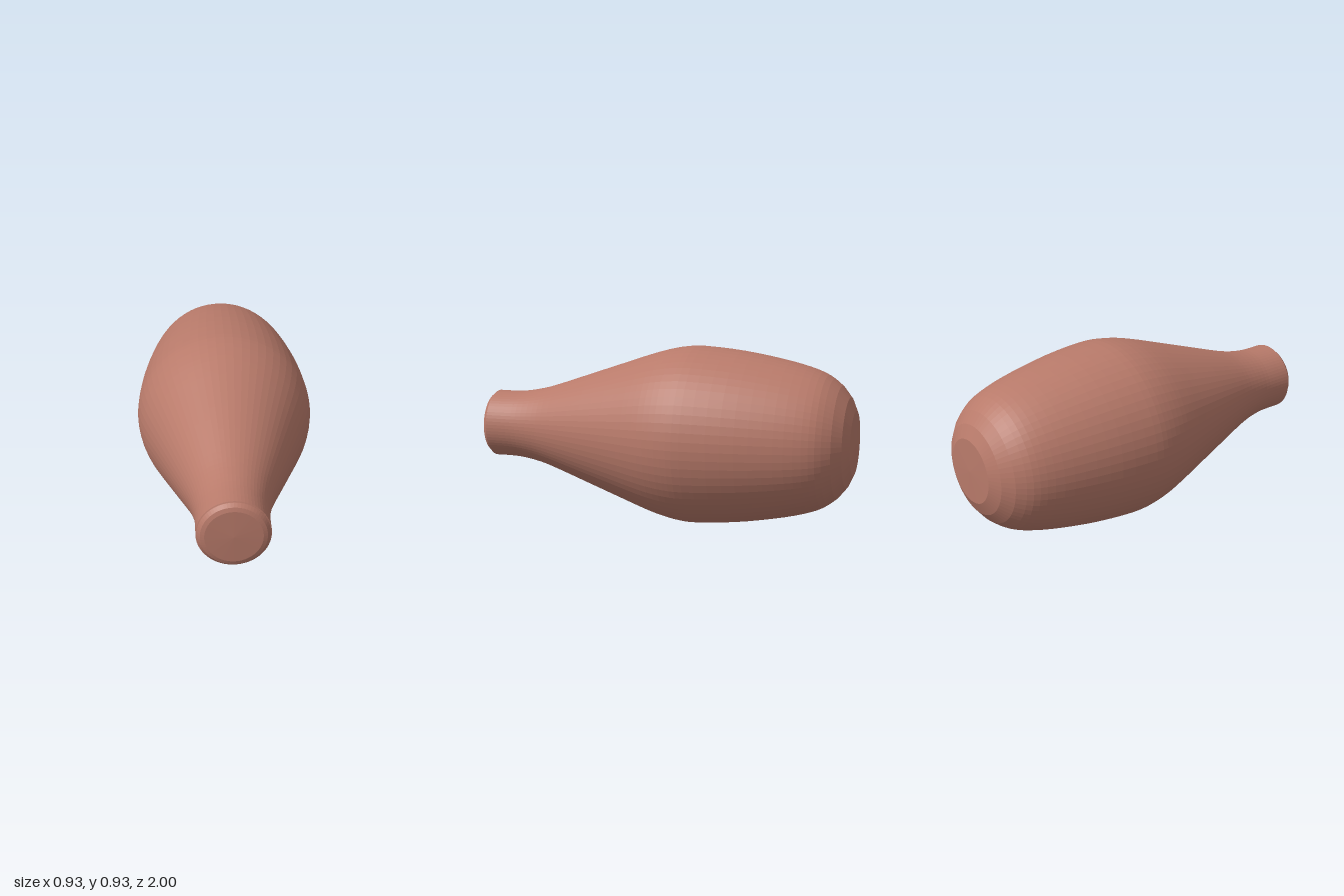
import * as THREE from 'three';

const SIDES = 64;
const AXIS_HEIGHT = 0.463;

// Revolve [radius, z] points (ordered back to front) around the z axis
function turned(name, points, material) {
  const geometry = new THREE.LatheGeometry(points.map(([r, z]) => new THREE.Vector2(r, z)), SIDES);
  geometry.rotateX(Math.PI / 2);
  const mesh = new THREE.Mesh(geometry, material);
  mesh.name = name;
  mesh.position.y = AXIS_HEIGHT;
  return mesh;
}

export function createModel() {
  const group = new THREE.Group();
  group.name = 'bottle';
  const clay = new THREE.MeshStandardMaterial({ color: 0xb87a6a, flatShading: true });

  // Swelling body narrowing into the neck
  const side = new THREE.SplineCurve([
    [0.288, -0.92], [0.34, -0.85], [0.378, -0.75], [0.413, -0.6], [0.446, -0.4],
    [0.463, -0.2], [0.458, -0.1], [0.438, 0], [0.407, 0.1], [0.372, 0.2],
    [0.302, 0.4], [0.232, 0.6], [0.202, 0.7], [0.183, 0.8], [0.178, 0.88], [0.178, 0.965],
  ].map(([r, z]) => new THREE.Vector2(r, z))).getPoints(45).map((p) => [p.x, p.y]);

  // Rounded base closes the back, a narrow step seats the cap at the front
  const base = [[0, -1], [0.165, -0.995], [0.232, -0.965]];
  group.add(turned('body', [...base, ...side, [0.172, 0.968]], clay));

  // Bevelled cap on the neck
  group.add(turned('cap', [[0.173, 0.962], [0.173, 0.97], [0.158, 0.988], [0.138, 0.995], [0, 1]], clay));

  return group;
}
